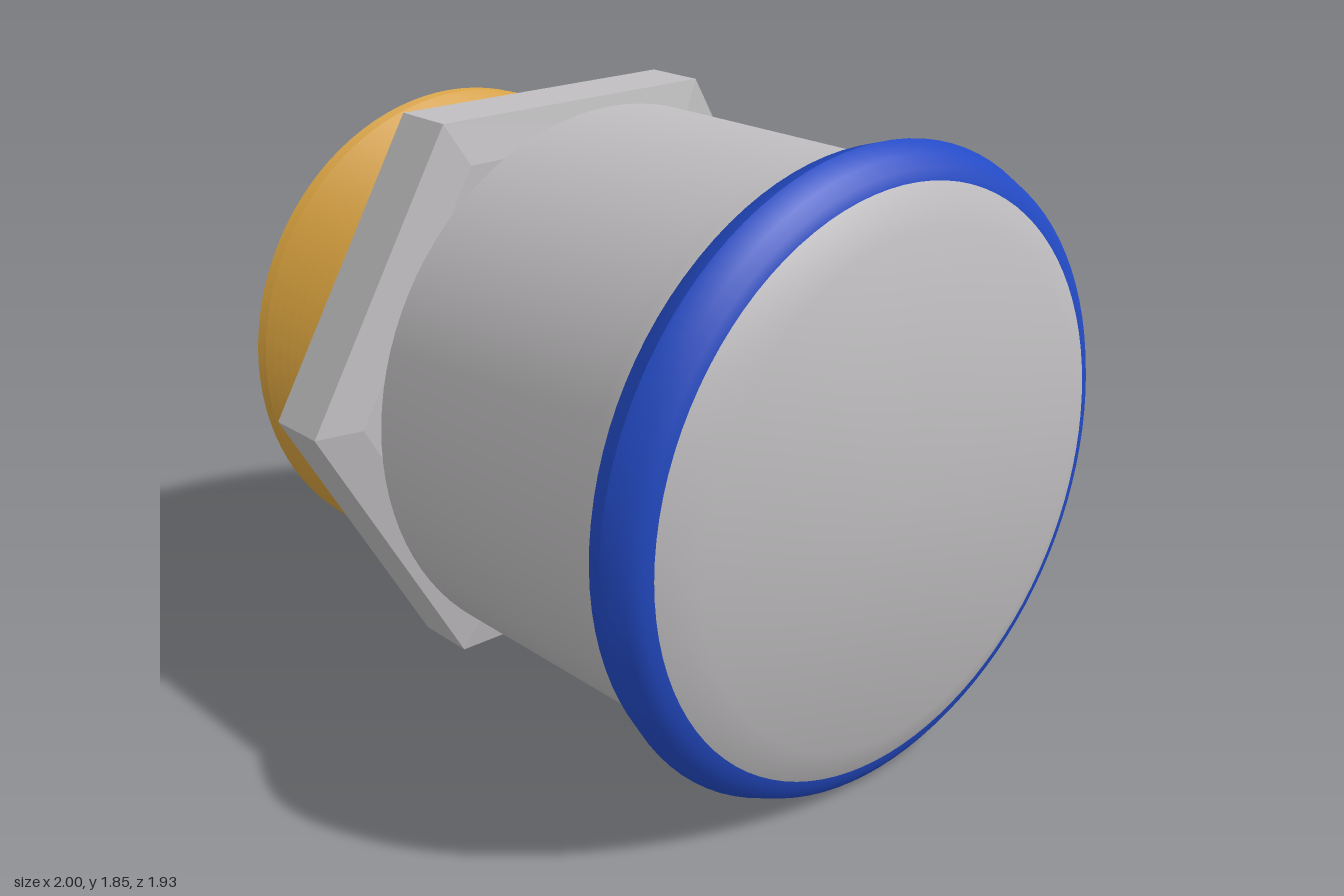
import * as THREE from 'three';
import { toCreasedNormals } from 'three/addons/utils/BufferGeometryUtils.js';

const AXIS_HEIGHT = 0.923;

// Revolve [x, radius] pairs (running from -x to +x) around the fitting's axis
function turned(name, profile, material, segments = 96, crease = 0.35) {
  const points = profile.map(([x, r]) => new THREE.Vector2(r, x));
  const lathe = new THREE.LatheGeometry(points, segments);
  lathe.rotateZ(-Math.PI / 2);
  const mesh = new THREE.Mesh(toCreasedNormals(lathe, crease), material);
  mesh.name = name;
  mesh.position.y = AXIS_HEIGHT;
  return mesh;
}

export function createModel() {
  const steel = new THREE.MeshStandardMaterial({ color: 0xc0bec0 });
  steel.name = 'steel grey';
  const brass = new THREE.MeshStandardMaterial({ color: 0xd29d3c });
  brass.name = 'brass';
  const blue = new THREE.MeshStandardMaterial({ color: 0x234ac4 });
  blue.name = 'seal blue';

  const group = new THREE.Group();
  group.name = 'pressFitting';

  // Male thread: a closed cylinder with parallel V-shaped ridges
  const thread = [[-1, 0], [-1, 0.768]];
  const ridges = 9, start = -0.985, pitch = 0.047;
  for (let i = 0; i < ridges; i++) {
    const x = start + i * pitch;
    thread.push([x + pitch * 0.25, 0.752], [x + pitch * 0.75, 0.77]);
  }
  thread.push([-0.56, 0.752]);
  group.add(turned('thread', thread, brass));

  // Hexagonal nut with chamfered ends, flats at top and bottom
  group.add(turned('hexNut', [
    [-0.582, 0], [-0.582, 0.82], [-0.55, 0.967], [-0.352, 0.967], [-0.326, 0.82], [-0.326, 0],
  ], steel, 6, 0.05));

  // Sleeve with tapered shoulder, slight flare and rounded closed end
  group.add(turned('sleeve', [
    [-0.33, 0.722], [-0.326, 0.725], [-0.198, 0.844], [0.64, 0.844], [0.7, 0.856],
    [0.78, 0.86], [0.93, 0.858], [0.945, 0.835],
  ], steel));
  group.add(turned('sleeveEnd', [[0.945, 0.835], [1, 0.725], [1, 0]], steel, 96, 0.6));

  // Blue seal bead around the mouth
  group.add(turned('sealRing', [
    [0.768, 0.85], [0.768, 0.885], [0.788, 0.903], [0.85, 0.923], [0.912, 0.896],
    [0.938, 0.862], [0.947, 0.832],
  ], blue, 96, 0.7));

  return group;
}
